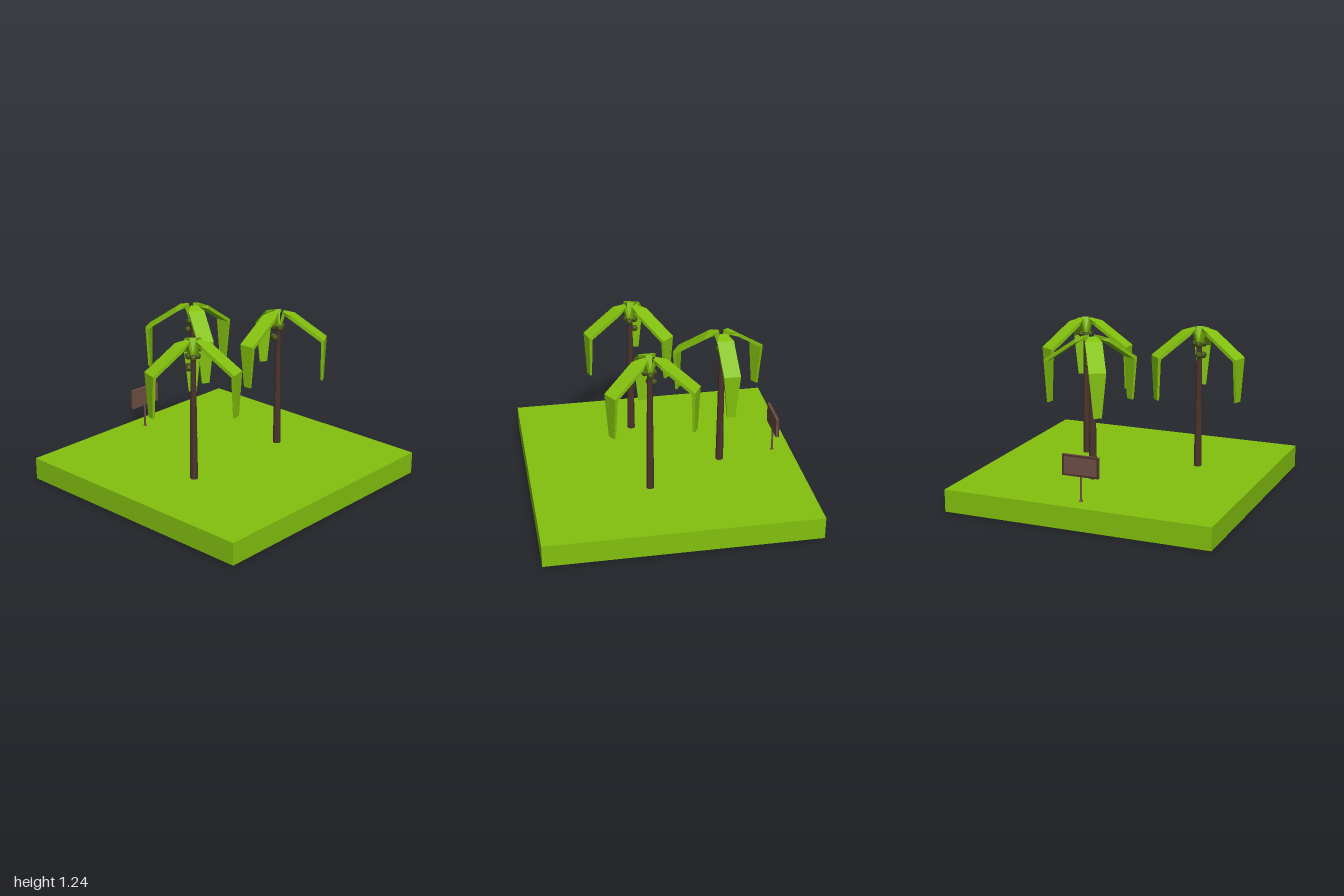
import * as THREE from 'three';

const paint = (color) => {
  const m = new THREE.MeshStandardMaterial({ flatShading: true });
  m.color.set(color);
  return m;
};

const green = paint(0x83c10e), bark = paint(0x4b342d), wood = paint(0x6e4f44);
const darkWood = paint(0x4b342d), nut = paint(0x42500f);

function part(parent, name, geometry, material, x = 0, y = 0, z = 0) {
  const mesh = new THREE.Mesh(geometry, material);
  mesh.name = name;
  mesh.position.set(x, y, z);
  parent.add(mesh);
  return mesh;
}

// Frond swept outward along x: [outer r, outer y, inner r, inner y, width]
function frondGeometry() {
  const sections = [
    [0.004, 1.12, 0.022, 1.12, 0.03],
    [0.035, 1.238, 0.05, 1.21, 0.05],
    [0.11, 1.215, 0.103, 1.19, 0.12],
    [0.353, 1.05, 0.33, 1.035, 0.12],
    [0.345, 0.73, 0.328, 0.73, 0.058],
  ];
  const pos = [], idx = [];
  for (const [ro, yo, ri, yi, w] of sections) {
    const h = w / 2;
    pos.push(ro, yo, h, ro, yo, -h, ri, yi, -h, ri, yi, h);
  }
  const last = (sections.length - 1) * 4;
  for (let s = 0; s < last; s += 4) {
    for (let k = 0; k < 4; k++) {
      const a = s + k, b = s + (k + 1) % 4;
      idx.push(a, a + 4, b + 4, a, b + 4, b);
    }
  }
  idx.push(0, 1, 2, 0, 2, 3, last, last + 2, last + 1, last, last + 3, last + 2);
  const g = new THREE.BufferGeometry();
  g.setAttribute('position', new THREE.Float32BufferAttribute(pos, 3));
  g.setIndex(idx);
  const flat = g.toNonIndexed();
  flat.computeVertexNormals();
  return flat;
}

function createPalm(x, z, degrees, frondGeo, nutGeo) {
  const palm = new THREE.Group();
  palm.name = 'palmTree';
  palm.position.set(x, 0, z);
  palm.rotation.y = -THREE.MathUtils.degToRad(degrees);

  part(palm, 'trunk', new THREE.CylinderGeometry(0.019, 0.029, 0.94, 8), bark, 0, 0.66, 0);

  for (let i = 0; i < 3; i++) {
    part(palm, 'frond', frondGeo, green).rotation.y = i * Math.PI * 2 / 3;
  }

  // Three coconuts between the fronds and two hanging lower
  const nuts = [[60, 1.113], [180, 1.113], [300, 1.113], [0, 1.037], [60, 1.037]];
  for (const [deg, y] of nuts) {
    const a = THREE.MathUtils.degToRad(deg);
    part(palm, 'coconut', nutGeo, nut, 0.037 * Math.cos(a), y, 0.037 * Math.sin(a));
  }
  return palm;
}

// Signboard whose framed face looks toward the back
function createSign() {
  const sign = new THREE.Group();
  sign.name = 'sign';
  sign.position.z = -0.862;
  part(sign, 'signPost', new THREE.CylinderGeometry(0.007, 0.008, 0.2, 8), wood, 0, 0.26, 0);
  part(sign, 'signFoot', new THREE.CylinderGeometry(0.009, 0.014, 0.018, 8), wood, 0, 0.174, 0);
  part(sign, 'signBoard', new THREE.BoxGeometry(0.272, 0.15, 0.016), wood, 0, 0.421, 0.004);
  for (const s of [-1, 1]) {
    part(sign, 'signFrameRail', new THREE.BoxGeometry(0.272, 0.012, 0.009), darkWood, 0, 0.421 + s * 0.069, -0.0085);
    part(sign, 'signFrameStile', new THREE.BoxGeometry(0.012, 0.126, 0.009), darkWood, s * 0.13, 0.421, -0.0085);
  }
  return sign;
}

export function createModel() {
  const model = new THREE.Group();
  model.name = 'palmGrove';
  part(model, 'ground', new THREE.BoxGeometry(2, 0.166, 2), green, 0, 0.083, 0);

  const frondGeo = frondGeometry();
  const nutGeo = new THREE.SphereGeometry(0.024, 8, 6);
  const palms = [[-0.487, 0.15, 195], [0.417, 0.152, 180], [0.104, -0.428, 240]];
  for (const [x, z, deg] of palms) model.add(createPalm(x, z, deg, frondGeo, nutGeo));

  model.add(createSign());
  return model;
}
